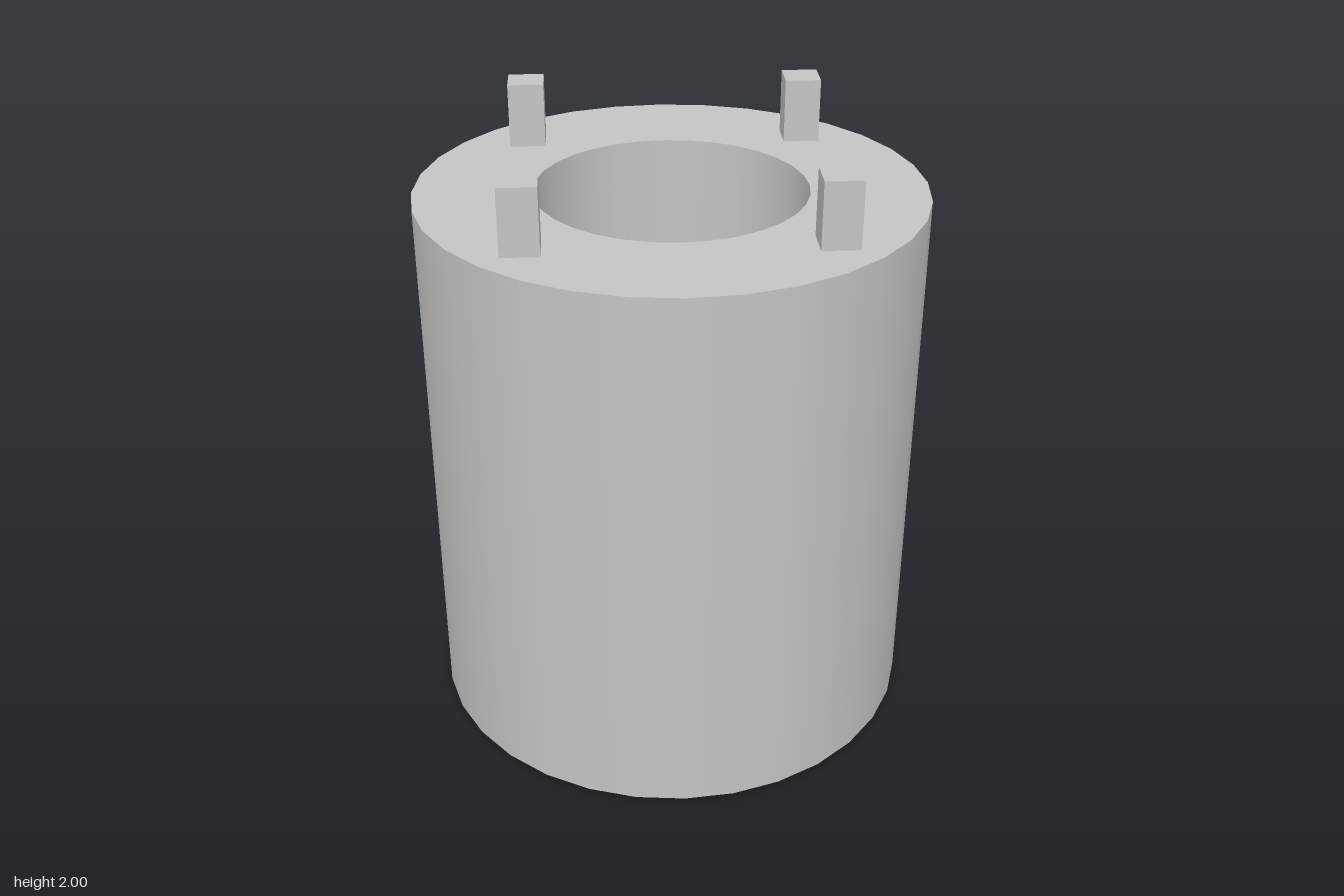
import * as THREE from 'three';
import { mergeGeometries } from 'three/addons/utils/BufferGeometryUtils.js';

const OUTER = 0.81, BORE = 0.435, RECESS = 0.496;
const TOP = 1.79, RECESS_DEPTH = 0.174, SIDES = 32;
const PIN_CIRCLE = 0.648, PIN = 0.083, PIN_TOP = 2, SOCKET = 0.087, SOCKET_DEPTH = 0.23;

// Revolves each profile segment on its own, so the corners between them stay sharp.
function revolve(profile, sides) {
  const parts = [];
  for (let i = 0; i < profile.length - 1; i++) {
    const pair = [profile[i], profile[i + 1]].map(([r, y]) => new THREE.Vector2(r, y));
    parts.push(new THREE.LatheGeometry(pair, sides));
  }
  return mergeGeometries(parts);
}

// Four-sided version with flat faces and its corners on the axes.
function square(profile) {
  const geometry = revolve(profile, 4).toNonIndexed();
  geometry.computeVertexNormals();
  return geometry;
}

function ring(radius, sides, cx = 0, cy = 0) {
  return Array.from({ length: sides }, (_, i) => {
    const a = (i / sides) * Math.PI * 2;
    return new THREE.Vector2(cx + radius * Math.cos(a), cy + radius * Math.sin(a));
  });
}

export function createModel() {
  const model = new THREE.Group();
  model.name = 'pinnedSleeve';
  const grey = new THREE.MeshStandardMaterial({ color: 0xc4c4c4 });
  grey.name = 'plain grey';

  const add = (name, geometry, x = 0, z = 0) => {
    const mesh = new THREE.Mesh(geometry, grey);
    mesh.name = name;
    mesh.position.set(x, 0, z);
    model.add(mesh);
  };

  // Outer wall, top face, bore, step and bottom recess
  add('sleeve', revolve([
    [OUTER, 0], [OUTER, TOP], [BORE, TOP],
    [BORE, RECESS_DEPTH], [RECESS, RECESS_DEPTH], [RECESS, 0],
  ], SIDES));

  const centres = [[1, 0], [0, 1], [-1, 0], [0, -1]].map(([x, z]) => [x * PIN_CIRCLE, z * PIN_CIRCLE]);

  // Bottom face, pierced by the recess and the sockets
  const bottom = new THREE.Shape(ring(OUTER, SIDES));
  bottom.holes.push(new THREE.Path(ring(RECESS, SIDES)));
  for (const [x, z] of centres) bottom.holes.push(new THREE.Path(ring(SOCKET, 4, x, z)));
  add('bottomFace', new THREE.ShapeGeometry(bottom).rotateX(Math.PI / 2));

  // Pins on top and matching sockets below
  const pin = square([[PIN, TOP], [PIN, PIN_TOP], [0, PIN_TOP]]);
  const socket = square([[0, SOCKET_DEPTH], [SOCKET, SOCKET_DEPTH], [SOCKET, 0]]);
  for (const [x, z] of centres) {
    add('pin', pin, x, z);
    add('socket', socket, x, z);
  }
  return model;
}
